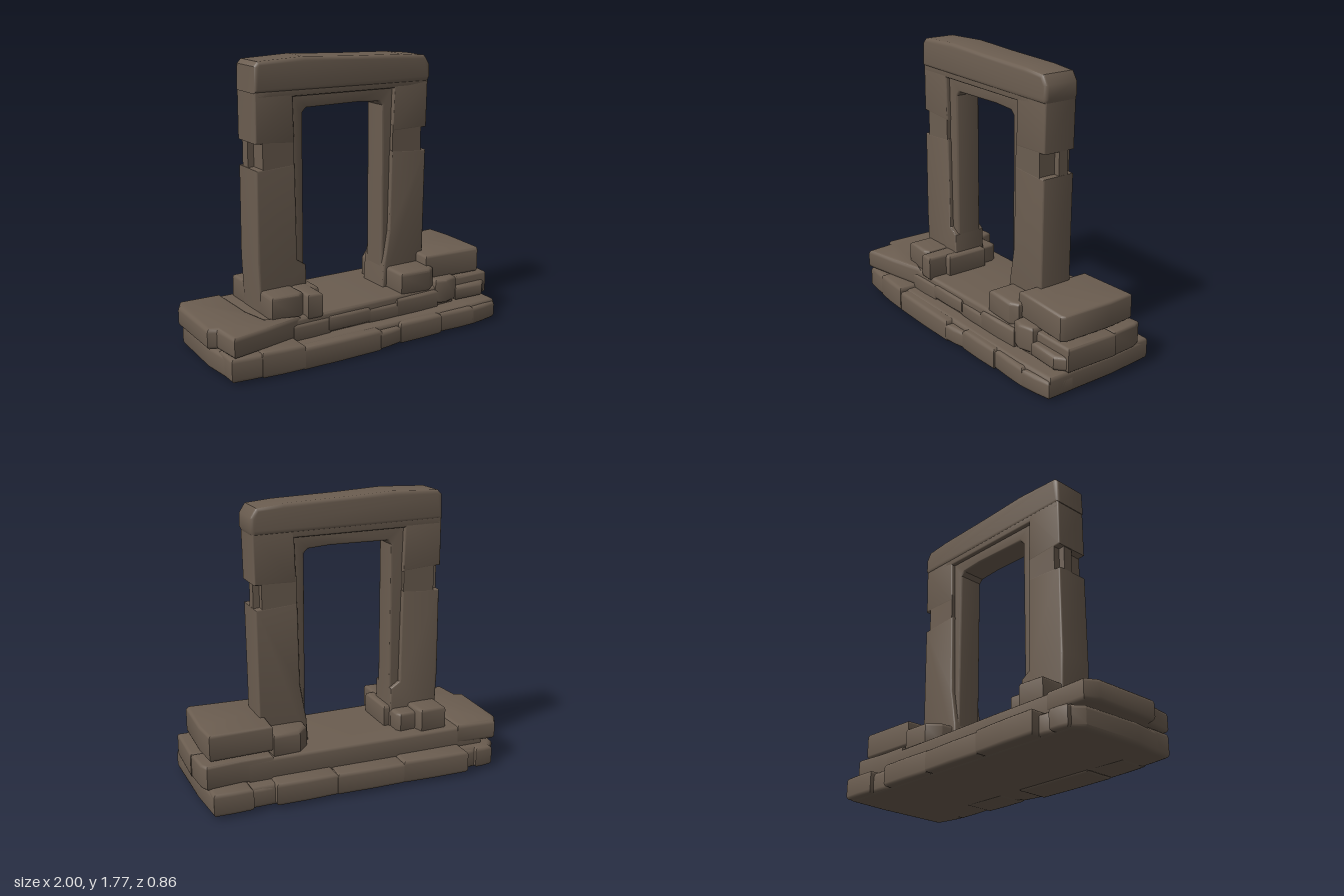
import * as THREE from 'three';
import { toCreasedNormals } from 'three/addons/utils/BufferGeometryUtils.js';

const stoneMat = new THREE.MeshStandardMaterial({ color: 0x6b5d50 });
stoneMat.name = 'weathered brown stone';

// Rounded extrusion of an outline whose finished depth is `depth`
function rounded(points, depth, b) {
  const shape = new THREE.Shape(points.map(([x, y]) => new THREE.Vector2(x, y)));
  const geo = new THREE.ExtrudeGeometry(shape, {
    depth: depth - 2 * b, bevelThickness: b, bevelSize: b, bevelOffset: -b, bevelSegments: 3,
  });
  return geo.translate(0, 0, b);
}

function addMesh(group, name, geo) {
  const mesh = new THREE.Mesh(toCreasedNormals(geo, 0.7), stoneMat);
  mesh.name = name;
  group.add(mesh);
  return mesh;
}

// Slab from a plan outline of [x, z] points, between heights y0 and y1
function slab(group, name, plan, y0, y1, b = 0.018) {
  const geo = rounded(plan.map(([x, z]) => [x, -z]), y1 - y0, b);
  return addMesh(group, name, geo.rotateX(-Math.PI / 2).translate(0, y0, 0));
}

// Upright piece from a front outline of [x, y] points, between z0 and z1
function upright(group, name, outline, z0, z1, b = 0.01) {
  return addMesh(group, name, rounded(outline, z1 - z0, b).translate(0, 0, z0));
}

const rect = (x0, x1, z0, z1) => [[x0, z0], [x1, z0], [x1, z1], [x0, z1]];

// Row of stones along an edge: [x0, x1, outer z at x0, outer z at x1, y0, y1]
function course(group, name, inner, stones, b) {
  for (const [x0, x1, za, zb, y0, y1] of stones) {
    const mid = (za + zb) / 2 + Math.sign(za) * 0.004;
    slab(group, name, [[x0, inner], [x0, za], [(x0 + x1) / 2, mid], [x1, zb], [x1, inner]], y0, y1, b);
  }
}

function buildPlinth() {
  const g = new THREE.Group();
  g.name = 'plinth';

  // Lowest course: core with facing stones front and back
  slab(g, 'plinthCore', [
    [-0.94, -0.3], [-0.88, -0.37], [0.95, -0.37], [0.97, -0.1], [0.97, 0.36],
    [0.7, 0.38], [-0.93, 0.37], [-0.96, 0.1],
  ], 0.015, 0.15, 0.025);
  course(g, 'frontBaseStone', 0.2, [
    [-0.94, -0.7, 0.375, 0.4, 0.015, 0.16],
    [-0.76, -0.49, 0.4, 0.42, 0.01, 0.17],
    [-0.5, 0.045, 0.415, 0.42, 0.004, 0.145],
    [0.035, 0.2, 0.425, 0.4, 0.015, 0.125],
    [0.195, 0.51, 0.405, 0.405, 0.01, 0.145],
    [0.505, 0.77, 0.395, 0.405, 0.015, 0.14],
    [0.76, 0.97, 0.405, 0.37, 0.015, 0.13],
  ], 0.024);
  course(g, 'backBaseStone', -0.2, [
    [-0.89, -0.77, -0.385, -0.395, 0.02, 0.15],
    [-0.78, -0.67, -0.37, -0.385, 0.02, 0.14],
    [-0.69, -0.25, -0.435, -0.42, 0.02, 0.165],
    [-0.26, 0.185, -0.42, -0.41, 0.02, 0.155],
    [0.18, 0.57, -0.405, -0.405, 0.02, 0.16],
    [0.56, 0.74, -0.37, -0.375, 0.02, 0.14],
    [0.71, 0.95, -0.4, -0.4, 0.02, 0.16],
  ], 0.022);

  // Second course carrying the threshold
  slab(g, 'threshold', [
    [-0.85, -0.31], [-0.3, -0.305], [0.2, -0.295], [0.7, -0.29],
    [0.7, 0.27], [0.25, 0.285], [-0.3, 0.29], [-0.85, 0.3],
  ], 0.13, 0.28, 0.02);
  course(g, 'frontStepStone', 0.1, [
    [-0.5, -0.25, 0.305, 0.3, 0.13, 0.245],
    [-0.26, 0.04, 0.305, 0.3, 0.155, 0.25],
    [0.03, 0.25, 0.295, 0.3, 0.14, 0.235],
    [0.24, 0.56, 0.3, 0.295, 0.135, 0.26],
  ], 0.02);

  // Skewed slab on the right-hand end
  slab(g, 'endSlab', [
    [-0.99, -0.24], [-0.945, -0.32], [-0.68, -0.31], [-0.675, 0.05], [-0.64, 0.21],
    [-0.44, 0.285], [-0.7, 0.35], [-0.93, 0.395], [-0.95, 0.21], [-1.0, 0.19],
  ], 0.165, 0.292, 0.025);

  // Stacked stones on the left-hand end
  slab(g, 'endStoneBack', [[0.55, -0.29], [0.75, -0.29], [0.96, -0.31], [0.985, -0.26], [0.995, -0.09], [0.55, -0.09]], 0.15, 0.3);
  slab(g, 'endStoneMiddle', [[0.55, -0.095], [1.0, -0.095], [0.99, 0.25], [0.55, 0.25]], 0.15, 0.3);
  slab(g, 'endStoneFront', [[0.71, 0.1], [0.99, 0.1], [0.985, 0.24], [0.92, 0.3], [0.71, 0.29]], 0.155, 0.245, 0.022);
  slab(g, 'endStoneFrontUpper', [[0.72, 0.05], [0.99, 0.05], [0.97, 0.245], [0.72, 0.25]], 0.23, 0.3, 0.015);
  slab(g, 'wedgeStone', [[0.54, 0.05], [0.73, 0.05], [0.715, 0.28], [0.62, 0.31], [0.55, 0.285]], 0.165, 0.325, 0.022);
  slab(g, 'topSlab', [
    [0.54, -0.26], [0.93, -0.275], [0.945, -0.1], [0.935, 0.225], [0.915, 0.25], [0.515, 0.225], [0.53, 0],
  ], 0.31, 0.472, 0.018);
  return g;
}

function buildFeet() {
  const g = new THREE.Group();
  g.name = 'pillarFeet';
  // Blocks around the right pillar
  slab(g, 'footBlock', [[-0.61, 0], [-0.41, 0], [-0.4, 0.24], [-0.44, 0.265], [-0.615, 0.255]], 0.265, 0.42, 0.02);
  slab(g, 'footBlock', [[-0.41, 0], [-0.3, 0], [-0.305, 0.305], [-0.4, 0.3]], 0.26, 0.415, 0.018);
  slab(g, 'footChip', rect(-0.34, -0.26, -0.1, 0.18), 0.265, 0.41, 0.018);
  slab(g, 'footBlock', [[-0.61, 0], [-0.61, -0.265], [-0.44, -0.275], [-0.42, -0.2], [-0.42, 0]], 0.265, 0.42, 0.02);
  slab(g, 'footBlock', [[-0.45, 0], [-0.45, -0.21], [-0.32, -0.22], [-0.3, -0.19], [-0.3, 0]], 0.265, 0.395, 0.02);
  // Blocks around the left pillar
  slab(g, 'footBlock', [[0.29, 0], [0.55, 0], [0.55, 0.25], [0.5, 0.285], [0.29, 0.275]], 0.262, 0.41, 0.022);
  slab(g, 'footBlock', [[0.29, 0], [0.3, -0.19], [0.37, -0.265], [0.54, -0.275], [0.55, 0]], 0.265, 0.41, 0.022);
  return g;
}

function buildPillar(name, outer, lower, upper) {
  const g = new THREE.Group();
  g.name = name;
  upright(g, 'pillarLower', lower, -0.115, 0.107);
  upright(g, 'pillarUpper', upper, -0.115, 0.107);
  // Notch with an unbroken strip left standing in it
  const s = Math.sign(outer), inner = s < 0 ? -0.375 : 0.325, cut = outer - s * 0.045;
  const box = (x0, x1, z0, z1, part) => addMesh(g, part,
    new THREE.BoxGeometry(Math.abs(x1 - x0), 0.2, z1 - z0).translate((x0 + x1) / 2, 1.22, (z0 + z1) / 2));
  box(inner, cut, -0.114, 0.106, 'notchBack');
  box(cut - s * 0.03, outer - s * 0.006, -0.07, -0.005, 'notchStrip');
  return g;
}

function buildGate() {
  const g = new THREE.Group();
  g.name = 'gateway';
  g.add(buildPillar('rightPillar', -0.625,
    [[-0.61, 0.26], [-0.295, 0.26], [-0.3, 0.53], [-0.36, 0.57], [-0.37, 1.16], [-0.622, 1.145], [-0.625, 0.6]],
    [[-0.625, 1.3], [-0.37, 1.28], [-0.38, 1.6], [-0.625, 1.6]]));
  g.add(buildPillar('leftPillar', 0.585,
    [[0.26, 0.26], [0.57, 0.26], [0.58, 1.14], [0.32, 1.16], [0.31, 0.65], [0.285, 0.5], [0.27, 0.42]],
    [[0.325, 1.28], [0.582, 1.285], [0.588, 1.6], [0.335, 1.6]]));

  // Band above the doorway
  upright(g, 'lintelBand', [[-0.62, 1.555], [0.58, 1.545], [0.588, 1.62], [-0.625, 1.62]], -0.115, 0.107);

  // Recessed door frame
  upright(g, 'doorFrame', [
    [-0.4, 0.27], [-0.3, 0.27], [-0.3, 1.45], [-0.275, 1.477], [0.1, 1.48], [0.24, 1.47], [0.265, 1.445],
    [0.27, 0.27], [0.36, 0.27], [0.36, 1.58], [-0.4, 1.58],
  ], -0.088, 0.08, 0.012);

  // Worn lintel beam
  upright(g, 'lintel', [
    [-0.63, 1.588], [0.585, 1.572], [0.598, 1.6], [0.596, 1.68], [0.56, 1.735], [0.4, 1.75], [0, 1.763],
    [-0.3, 1.778], [-0.6, 1.766], [-0.625, 1.74],
  ], -0.12, 0.115, 0.022);
  return g;
}

export function createModel() {
  const model = new THREE.Group();
  model.name = 'ruinedStoneGate';
  model.add(buildPlinth(), buildFeet(), buildGate());
  return model;
}
